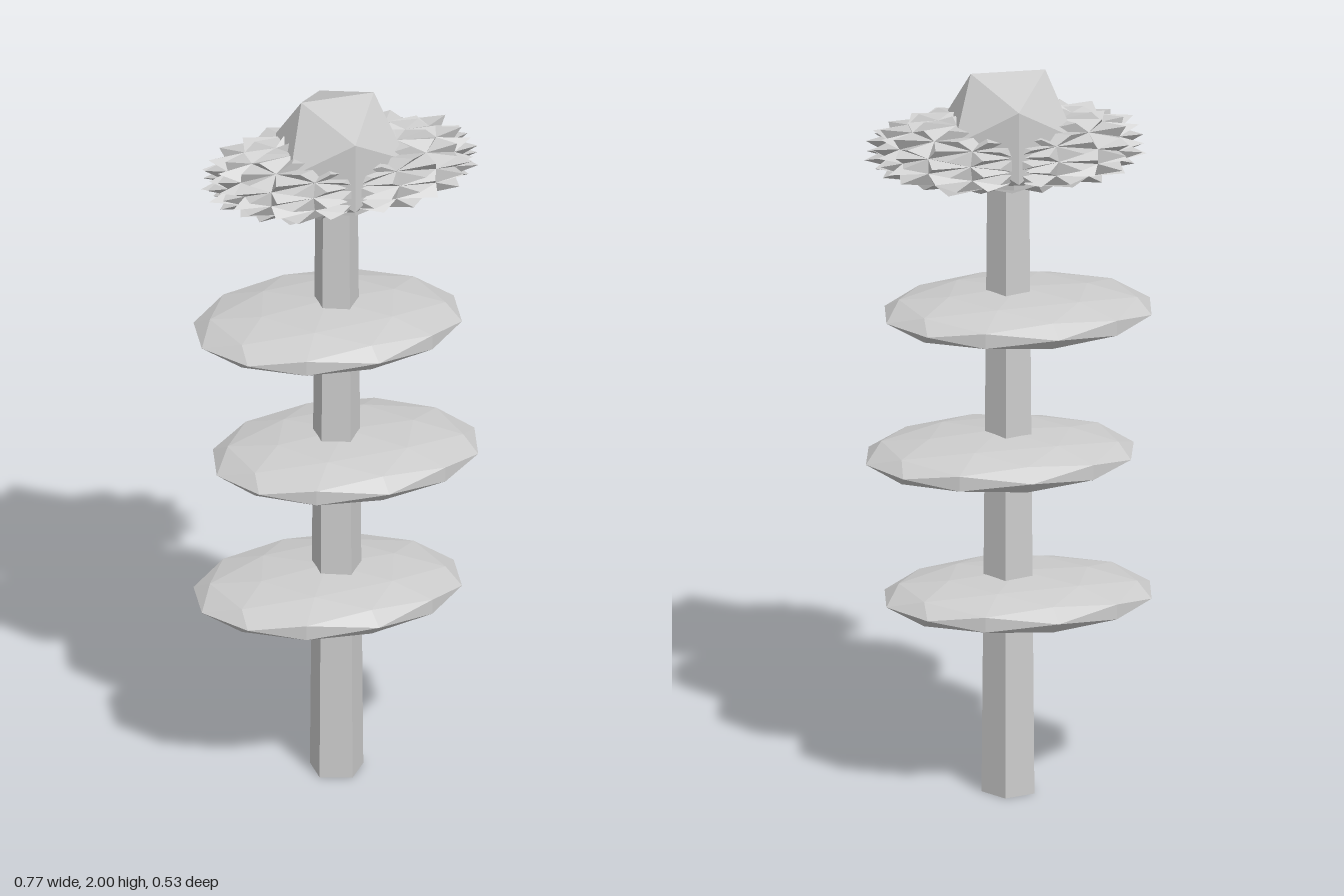
import * as THREE from 'three';

const grey = new THREE.MeshStandardMaterial({ color: 0xcccccc, flatShading: true });

function add(group, name, geometry, x, y) {
  const mesh = new THREE.Mesh(geometry, grey);
  mesh.name = name;
  mesh.position.set(x, y, 0);
  group.add(mesh);
}

// Flattened faceted ball, turned before it is squashed
function discGeometry(turn) {
  return new THREE.IcosahedronGeometry(1, 1).rotateY(turn).scale(0.366, 0.067, 0.266);
}

// Blunt ellipsoid whose every facet rises into a spike
function spikyGeometry(rx, ry, rz) {
  const p = new THREE.IcosahedronGeometry(1, 2).attributes.position;
  const swell = (v, r) => {
    const q = 2.5;
    const norm = (Math.abs(v.x) ** q + Math.abs(v.y) ** q + Math.abs(v.z) ** q) ** (1 / q);
    return v.multiplyScalar(r / norm).multiply(new THREE.Vector3(rx, ry, rz));
  };
  let seed = 7;
  const random = () => (seed = (seed * 16807) % 2147483647) / 2147483647;
  const out = [];
  for (let i = 0; i < p.count; i += 3) {
    const c = [0, 1, 2].map(k => new THREE.Vector3().fromBufferAttribute(p, i + k));
    const tip = swell(c[0].clone().add(c[1]).add(c[2]).normalize(), 0.95 + 0.08 * random());
    c.forEach(v => swell(v, 0.86));
    for (let k = 0; k < 3; k++) {
      for (const v of [c[k], c[(k + 1) % 3], tip]) out.push(v.x, v.y, v.z);
    }
  }
  const g = new THREE.BufferGeometry();
  g.setAttribute('position', new THREE.Float32BufferAttribute(out, 3));
  g.computeVertexNormals();
  return g;
}

export function createModel() {
  const group = new THREE.Group();

  // Five-sided tapering stem
  const stem = new THREE.CylinderGeometry(0.058, 0.074, 1.8, 5).rotateY(Math.PI / 2);
  add(group, 'stem', stem, -0.003, 0.9);

  // Leaf discs, shifted to alternate sides
  [0.543, 0.938, 1.333].forEach((y, i) => {
    const even = i % 2 === 0;
    add(group, 'leafDisc' + (i + 1), discGeometry(even ? 0.17 : 0.11), even ? -0.027 : 0.022, y);
  });

  // Flower head and its core
  add(group, 'spikyHead', spikyGeometry(0.373, 0.11, 0.175), 0.008, 1.79);
  add(group, 'core', new THREE.IcosahedronGeometry(0.19, 0), 0, 1.838);

  return group;
}
